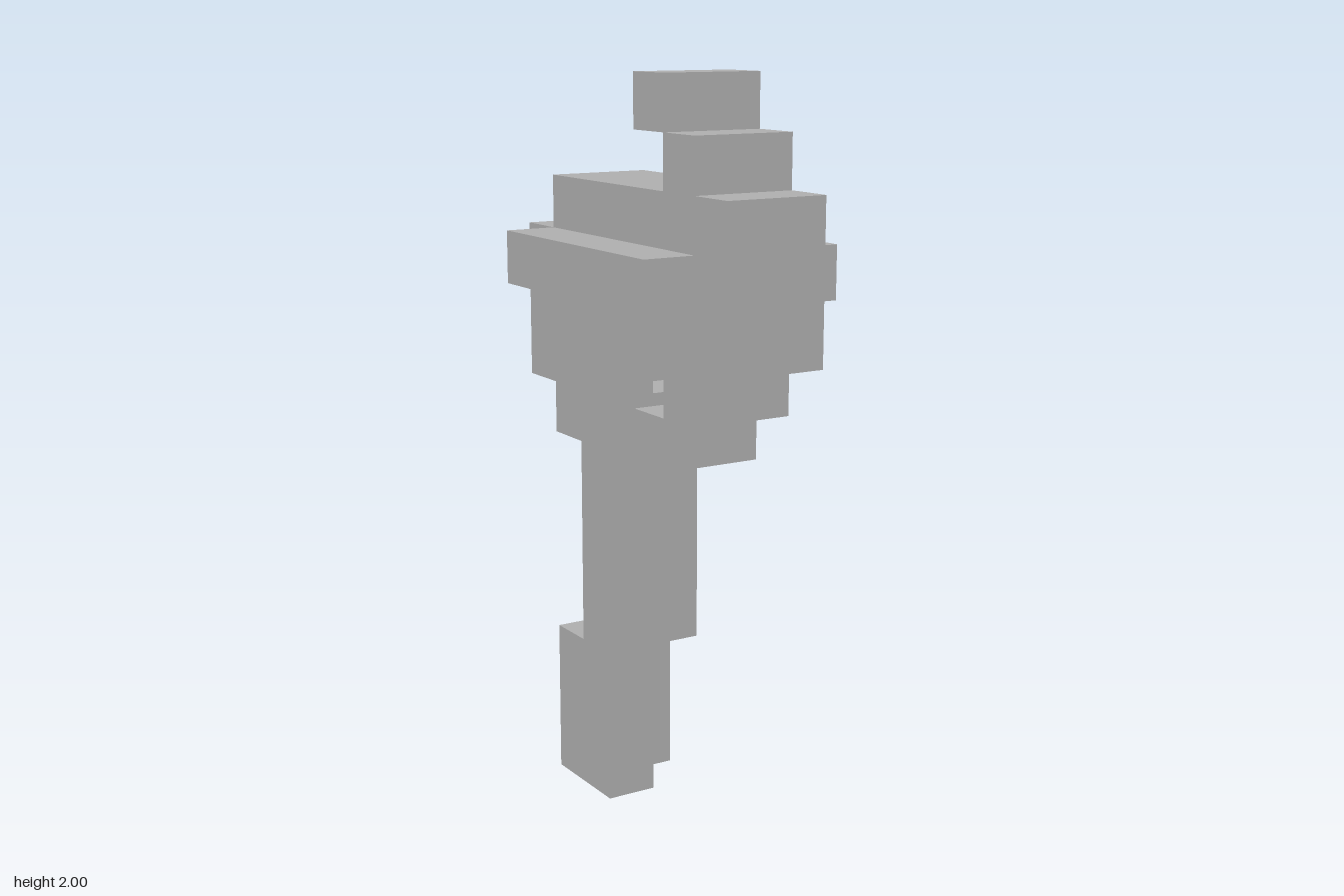
import * as THREE from 'three';

const U = 1 / 7; // size of one grid cell

const gray = new THREE.MeshStandardMaterial({ color: 0xb0b0b0 });
gray.name = 'gray';

// Side profile of [z, y] cells, extruded across x from x0 to x1
function slab(name, x0, x1, points) {
  const shape = new THREE.Shape(points.map(([z, y]) => new THREE.Vector2(z * U, y * U)));
  const geometry = new THREE.ExtrudeGeometry(shape, { depth: (x1 - x0) * U, bevelEnabled: false });
  geometry.rotateY(-Math.PI / 2); // profile now lies in the zy plane, depth runs to -x
  geometry.translate(x1 * U, 0, 0);
  const mesh = new THREE.Mesh(geometry, gray);
  mesh.name = name;
  return mesh;
}

const rect = (z0, z1, y0, y1) => [[z0, y0], [z1, y0], [z1, y1], [z0, y1]];

export function createModel() {
  const model = new THREE.Group();
  model.name = 'hammer';

  // Head: stepped striking face in front, poll block at the back
  model.add(slab('head', -1, 1, [
    [1.5, 8], [2.5, 8], [2.5, 9], [3.5, 9], [3.5, 12], [2.5, 12], [2.5, 13], [1.5, 13],
    [1.5, 12], [-2.5, 12], [-2.5, 11], [-3.5, 11], [-3.5, 8], [-2.5, 8], [-2.5, 9], [1.5, 9],
  ]));

  // Curled tips above and below the head
  model.add(slab('upperTip', -1, 1, rect(0.5, 1.5, 13, 14)));
  model.add(slab('lowerTip', -1, 1, rect(0.5, 1.5, 7, 8)));

  // Side rails, each with a small lug underneath
  const rail = [
    [-2.5, 10], [0.5, 10], [0.5, 9], [1.5, 9], [1.5, 10], [2.5, 10], [2.5, 11], [-2.5, 11],
  ];
  model.add(slab('leftRail', 1, 2, rail));
  model.add(slab('rightRail', -2, -1, rail));

  // Handle halves: one notched at the back, one at the front
  model.add(slab('handleRightHalf', -1, 0, [
    [-2.5, 0], [-0.5, 0], [-0.5, 9], [-2.5, 9], [-2.5, 7], [-1.5, 7], [-1.5, 3], [-2.5, 3],
  ]));
  model.add(slab('handleLeftHalf', 0, 1, [
    [-2.5, 0], [-1.5, 0], [-1.5, 3], [-0.5, 3], [-0.5, 8], [-1.5, 8], [-1.5, 9], [-2.5, 9],
  ]));

  return model;
}
